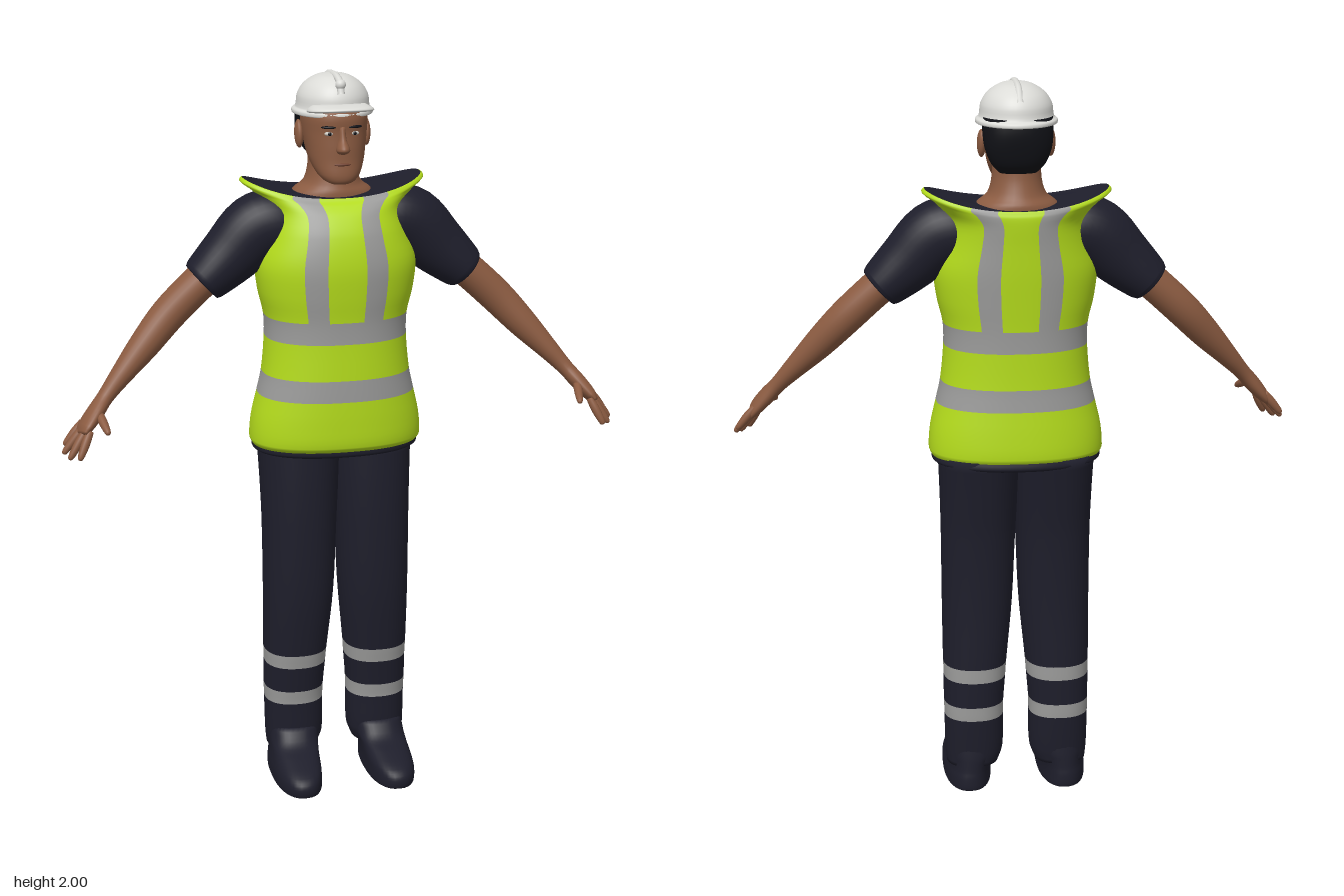
import * as THREE from 'three';

const mat = (name, color) => Object.assign(new THREE.MeshStandardMaterial({ color }), { name });

// Horizontal section: height, half width, front z, back z, centre x, side rise
const ring = (y, w, zf, zb, cx = 0, rise = 0) => [cx, y, (zf + zb) / 2, w, (zf - zb) / 2, rise];

// Smooth interpolation through sections, spaced by their distance
function densify(keys, sub) {
  const s = [0];
  for (let i = 1; i < keys.length; i++) {
    s.push(s[i - 1] + Math.max(1e-4, Math.hypot(...keys[i].map((v, k) => v - keys[i - 1][k]))));
  }
  const last = keys.length - 1, rows = [];
  const slope = (i, k) => {
    const a = Math.max(0, i - 1), b = Math.min(last, i + 1);
    return (keys[b][k] - keys[a][k]) / (s[b] - s[a]);
  };
  for (let i = 0; i < last; i++) {
    const h = s[i + 1] - s[i];
    for (let q = 0; q < sub; q++) {
      const u = q / sub, u2 = u * u, u3 = u2 * u;
      rows.push(keys[i].map((v, k) => (2 * u3 - 3 * u2 + 1) * v + (u3 - 2 * u2 + u) * h * slope(i, k)
        + (3 * u2 - 2 * u3) * keys[i + 1][k] + (u3 - u2) * h * slope(i + 1, k)));
    }
  }
  rows.push(keys[last]);
  return rows;
}

// Closed skin over sections; paint(segment, column) picks a material index
function loft(name, keys, materials, { n = 32, sub = 4, path = false, power = 2, paint = () => 0 } = {}) {
  const rows = densify(keys, sub), pos = [], tris = materials.map(() => []);
  const P = r => new THREE.Vector3(r[0], r[1], r[2]);
  rows.forEach((r, i) => {
    let U = new THREE.Vector3(1, 0, 0), V = new THREE.Vector3(0, 0, 1);
    if (path) {
      const T = P(rows[Math.min(i + 1, rows.length - 1)]).sub(P(rows[Math.max(i - 1, 0)])).normalize();
      V.addScaledVector(T, -T.z).normalize();
      U = new THREE.Vector3().crossVectors(T, V);
    }
    for (let j = 0; j < n; j++) {
      const t = j / n * Math.PI * 2, sn = Math.sin(t), cs = Math.cos(t);
      const p = P(r).addScaledVector(U, r[3] * Math.sign(sn) * Math.abs(sn) ** (2 / power))
        .addScaledVector(V, r[4] * Math.sign(cs) * Math.abs(cs) ** (2 / power));
      pos.push(p.x, p.y + (r[5] || 0) * sn * sn, p.z);
    }
  });
  const end = rows.length - 1, c0 = rows.length * n;
  pos.push(...rows[0].slice(0, 3), ...rows[end].slice(0, 3));
  for (let j = 0; j < n; j++) {
    const k = (j + 1) % n;
    for (let i = 0; i < end; i++) {
      const a = i * n + j, b = i * n + k;
      tris[paint(Math.floor(i / sub), j)].push(a, b, b + n, a, b + n, a + n);
    }
    tris[paint(0, j)].push(c0, k, j);
    tris[paint(keys.length - 2, j)].push(c0 + 1, end * n + j, end * n + k);
  }
  const g = new THREE.BufferGeometry();
  g.setAttribute('position', new THREE.Float32BufferAttribute(pos, 3));
  g.setIndex(tris.flat());
  let start = 0;
  tris.forEach((t, i) => { g.addGroup(start, t.length, i); start += t.length; });
  g.computeVertexNormals();
  const m = new THREE.Mesh(g, materials);
  m.name = name;
  return m;
}

export function createModel() {
  const model = new THREE.Group();
  model.name = 'worker';
  const lime = mat('vest lime', 0xb4dc1c), silver = mat('reflective silver', 0x9b9b9a);
  const navy = mat('navy cloth', 0x1e1e2b), skin = mat('skin', 0x8b5b41), hair = mat('hair', 0x101116);
  const white = mat('helmet white', 0xdcdcd8), lip = mat('lip', 0x6e4030), eye = mat('eye white', 0xc8c4bc);
  const add = (...m) => model.add(...m);
  const ball = (name, m, p, s) => {
    const b = new THREE.Mesh(new THREE.SphereGeometry(1, 24, 16), m);
    b.name = name;
    b.position.set(...p);
    b.scale.set(...s);
    add(b);
    return b;
  };

  // Vest: two belts, four upright strips, flared shoulders, dark shirt in the neck opening
  add(loft('vest', [
    ring(0.985, 0.232, 0.112, -0.19), ring(1.0, 0.238, 0.125, -0.197), ring(1.06, 0.233, 0.128, -0.194),
    ring(1.13, 0.217, 0.127, -0.187), ring(1.19, 0.204, 0.125, -0.182), ring(1.29, 0.195, 0.121, -0.18),
    ring(1.35, 0.197, 0.122, -0.181), ring(1.42, 0.213, 0.129, -0.185), ring(1.5, 0.219, 0.132, -0.19),
    ring(1.58, 0.195, 0.118, -0.193), ring(1.63, 0.187, 0.094, -0.196, 0, 0.012),
    ring(1.657, 0.222, 0.07, -0.196, 0, 0.03), ring(1.668, 0.252, 0.056, -0.192, 0, 0.042),
    ring(1.675, 0.245, 0.05, -0.188, 0, 0.045), ring(1.672, 0.2, 0.036, -0.17, 0, 0.03),
    ring(1.674, 0.1, 0.005, -0.13, 0, 0.005),
  ], [lime, silver, navy], {
    n: 128, power: 2.3,
    paint: (seg, col) => {
      if (seg >= 13) return 2;
      if (seg === 3 || seg === 5) return 1;
      const m = (col + 0.5) % 64, d = Math.min(m, 64 - m);
      return seg > 5 && d > 4 && d < 10 ? 1 : 0;
    },
  }));
  add(loft('shirtHem', [ring(0.962, 0.205, 0.085, -0.18), ring(0.972, 0.23, 0.11, -0.195),
    ring(0.995, 0.23, 0.112, -0.19)], [navy], { n: 64, power: 2.3 }));

  // Neck and head
  add(loft('neck', [ring(1.64, 0.13, 0.02, -0.16), ring(1.68, 0.108, 0.022, -0.164), ring(1.705, 0.078, 0.015, -0.15),
    ring(1.75, 0.066, 0.005, -0.135), ring(1.81, 0.066, 0, -0.13)], [skin]));
  add(loft('head', [ring(1.714, 0.026, 0.058, 0.005), ring(1.722, 0.042, 0.068, -0.02), ring(1.74, 0.058, 0.071, -0.05),
    ring(1.775, 0.073, 0.067, -0.1), ring(1.81, 0.08, 0.066, -0.13), ring(1.85, 0.086, 0.064, -0.15),
    ring(1.89, 0.088, 0.066, -0.157), ring(1.93, 0.08, 0.05, -0.14)], [skin], { n: 48, power: 2.3 }));
  add(loft('nose', [ring(1.868, 0.009, 0.068, 0.04), ring(1.835, 0.011, 0.08, 0.04), ring(1.812, 0.018, 0.099, 0.04),
    ring(1.822, 0.01, 0.092, 0.04)].slice(0, 2).reverse().reduce((a, r) => [...a, r],
    [ring(1.797, 0.012, 0.078, 0.04), ring(1.806, 0.018, 0.098, 0.04), ring(1.815, 0.017, 0.098, 0.04)]), [skin]));
  ball('mouth', lip, [0, 1.768, 0.06], [0.026, 0.005, 0.011]);
  add(loft('hair', [ring(1.765, 0.05, -0.07, -0.135), ring(1.79, 0.072, -0.06, -0.156), ring(1.83, 0.088, -0.05, -0.168),
    ring(1.87, 0.093, -0.025, -0.173), ring(1.91, 0.093, 0.01, -0.17)], [hair], { power: 2.4 }));

  // Hard hat with rim, peak, ridge and badge
  add(loft('helmetShell', [ring(1.889, 0.1, 0.055, -0.178), ring(1.891, 0.108, 0.064, -0.187),
    ring(1.9, 0.108, 0.064, -0.186), ring(1.908, 0.099, 0.058, -0.174), ring(1.94, 0.094, 0.054, -0.168),
    ring(1.968, 0.076, 0.037, -0.148), ring(1.988, 0.045, 0.008, -0.112), ring(1.995, 0.015, -0.025, -0.07)],
  [white], { n: 48 }));
  const peak = loft('helmetPeak', [ring(0, 0.084, 0.112, -0.04), ring(0.004, 0.088, 0.118, -0.04),
    ring(0.01, 0.084, 0.113, -0.04), ring(0.02, 0.07, 0.07, -0.04)], [white], { power: 2.5 });
  peak.position.y = 1.9;
  peak.rotation.x = -0.12;
  add(peak);
  const ridge = new THREE.Mesh(new THREE.TubeGeometry(new THREE.CatmullRomCurve3(
    [[1.95, 0.048], [1.978, 0.034], [1.989, 0], [1.99, -0.06], [1.982, -0.115], [1.95, -0.158]]
      .map(([y, z]) => new THREE.Vector3(0, y, z))), 32, 0.01, 10), white);
  ridge.name = 'helmetRidge';
  add(ridge);
  ball('helmetBadge', white, [0, 1.976, 0.04], [0.014, 0.014, 0.014]);

  for (const s of [1, -1]) {
    const side = s > 0 ? 'left' : 'right';
    const flip = keys => keys.map(([x, ...r]) => [s * x, ...r]);
    const limb = (name, keys, m, n = 24) => add(loft(side + name, flip(keys), [m], { n, path: true }));

    // Face details
    ball(side + 'Eye', eye, [s * 0.034, 1.85, 0.055], [0.013, 0.006, 0.008]);
    ball(side + 'Pupil', hair, [s * 0.034, 1.85, 0.061], [0.005, 0.005, 0.004]);
    ball(side + 'Brow', hair, [s * 0.036, 1.867, 0.057], [0.02, 0.004, 0.008]).rotation.y = s * 0.3;
    ball(side + 'Ear', skin, [s * 0.092, 1.835, -0.058], [0.012, 0.038, 0.023]).rotation.x = -0.2;

    // Sleeve, forearm and hand
    limb('Sleeve', [[0.1, 1.585, -0.04, 0.07, 0.08], [0.16, 1.6, -0.04, 0.09, 0.09], [0.215, 1.585, -0.04, 0.094, 0.088],
      [0.285, 1.52, -0.038, 0.083, 0.08], [0.355, 1.458, -0.035, 0.066, 0.076], [0.366, 1.448, -0.035, 0.06, 0.071],
      [0.36, 1.453, -0.035, 0.045, 0.05]].slice(0, 6), navy, 32);
    limb('Arm', [[0.3, 1.507, -0.037, 0.05, 0.055], [0.38, 1.44, -0.035, 0.048, 0.053], [0.46, 1.365, -0.028, 0.047, 0.05],
      [0.53, 1.29, -0.005, 0.041, 0.043], [0.6, 1.215, 0.022, 0.029, 0.033], [0.645, 1.165, 0.042, 0.022, 0.027],
      [0.675, 1.13, 0.06, 0.022, 0.038], [0.705, 1.095, 0.076, 0.018, 0.046], [0.718, 1.078, 0.084, 0.01, 0.04]], skin);
    [[0.716, 1.093, 0.046, 0.76, 1.04, 0.048], [0.714, 1.088, 0.07, 0.766, 1.024, 0.075],
      [0.71, 1.083, 0.092, 0.753, 1.017, 0.108], [0.7, 1.083, 0.112, 0.729, 1.022, 0.136],
      [0.668, 1.132, 0.075, 0.652, 1.095, 0.155]].forEach(([x, y, z, X, Y, Z], i) => {
      const at = (u, r) => [x + (X - x) * u, y + (Y - y) * u, z + (Z - z) * u, r, r];
      limb(i < 4 ? 'Finger' + (i + 1) : 'Thumb',
        [at(-0.15, 0.01), at(0.3, 0.012), at(0.75, 0.01), at(0.95, 0.007), at(1, 0.003)], skin, 12);
    });

    // Trouser leg with two reflective bands
    add(loft(side + 'Leg', flip([
      ring(0.07, 0.072, 0.02, -0.118, 0.125), ring(0.11, 0.081, 0.03, -0.122, 0.12), ring(0.215, 0.083, 0.035, -0.13, 0.12),
      ring(0.255, 0.084, 0.04, -0.131, 0.12), ring(0.33, 0.087, 0.05, -0.133, 0.117), ring(0.37, 0.089, 0.056, -0.133, 0.116),
      ring(0.55, 0.098, 0.077, -0.133, 0.108), ring(0.75, 0.103, 0.084, -0.143, 0.104), ring(0.87, 0.108, 0.084, -0.16, 0.102),
      ring(0.99, 0.115, 0.08, -0.18, 0.1)]), [navy, silver],
    { n: 40, power: 2.3, paint: seg => (seg === 2 || seg === 4 ? 1 : 0) }));

    // Shoe
    const shoe = loft(side + 'Shoe', flip([
      ring(0, 0.062, 0.195, -0.125, 0.135), ring(0.006, 0.067, 0.208, -0.132, 0.135), ring(0.035, 0.067, 0.21, -0.132, 0.135),
      ring(0.055, 0.066, 0.19, -0.129, 0.133), ring(0.078, 0.066, 0.13, -0.127, 0.13), ring(0.1, 0.07, 0.07, -0.125, 0.126),
      ring(0.14, 0.072, 0.032, -0.12, 0.122)]), [navy], { n: 40, power: 2.4 });
    add(shoe);
  }
  return model;
}
